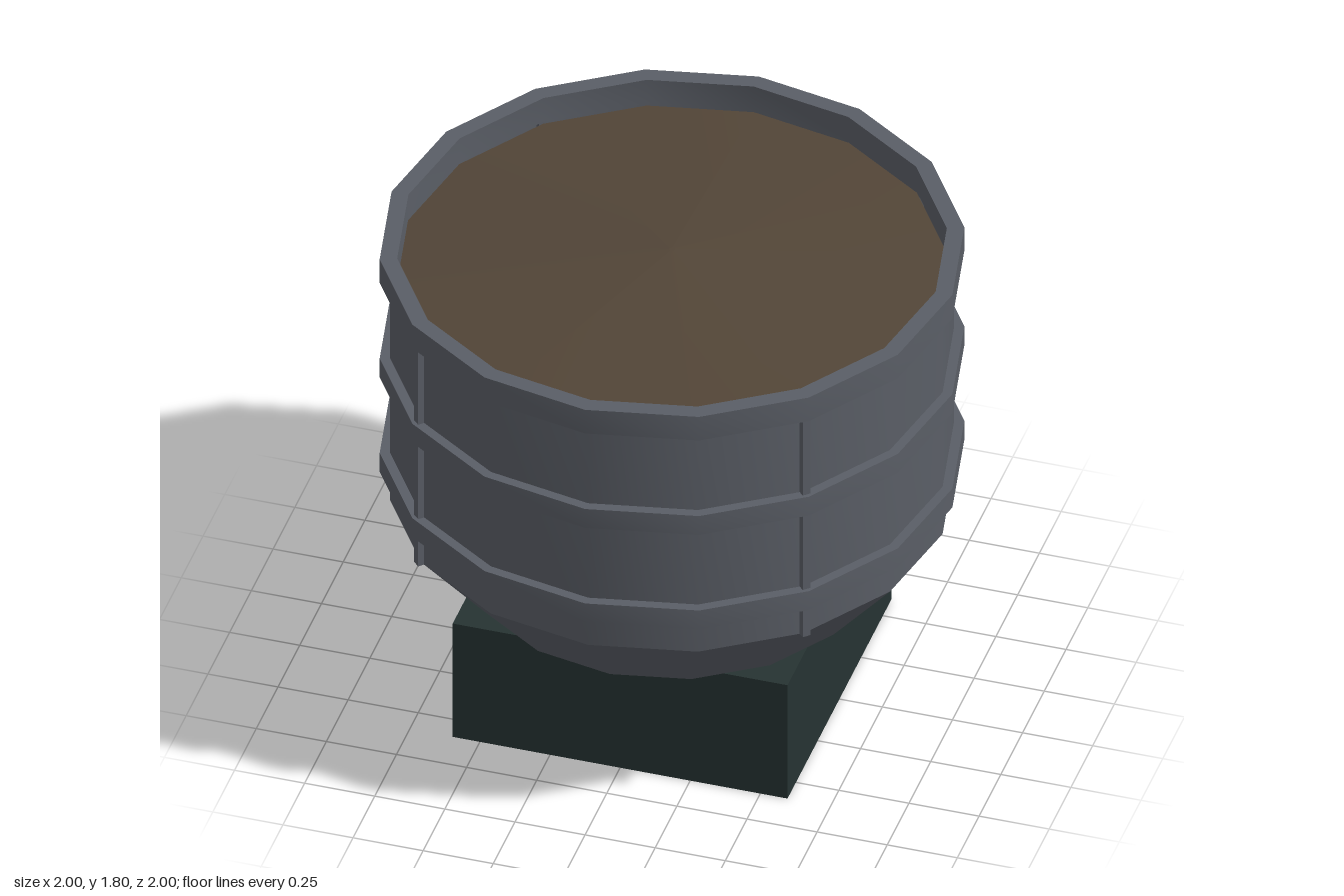
import * as THREE from 'three';
import { toCreasedNormals } from 'three/addons/utils/BufferGeometryUtils.js';

const SIDES = 16;

function material(name, color, side = THREE.FrontSide) {
  const m = new THREE.MeshStandardMaterial({ color, side });
  m.name = name;
  return m;
}

// Sixteen-sided turned shape: smooth around, sharp along the profile
function turned(points) {
  const profile = points.map(([r, y]) => new THREE.Vector2(r, y));
  return toCreasedNormals(new THREE.LatheGeometry(profile, SIDES), 0.6);
}

export function createModel() {
  const group = new THREE.Group();
  const metal = material('greyMetal', 0x5a5e66, THREE.DoubleSide);
  const fill = material('brownFill', 0x524537);
  const dark = material('darkGreenBase', 0x263332, THREE.DoubleSide);
  const grey = material('greyPanel', 0x5a5a5f);

  const add = (name, geometry, mat, parent = group) => {
    const mesh = new THREE.Mesh(geometry, mat);
    mesh.name = name;
    parent.add(mesh);
    return mesh;
  };

  // Hollow base, open underneath
  const baseGeometry = new THREE.BoxGeometry(1.194, 0.48, 1.194);
  const index = Array.from(baseGeometry.index.array);
  index.splice(18, 6); // bottom face
  baseGeometry.setIndex(index);
  baseGeometry.clearGroups();
  add('base', baseGeometry, dark).position.y = 0.24;

  // Panel on the back of the base
  add('backPanel', new THREE.BoxGeometry(0.55, 0.325, 0.006), grey).position.set(0, 0.24, -0.598);

  // Tub wall with funnel below, open at the bottom
  add('tub', turned([[0.715, 0.48], [0.965, 0.78], [0.965, 1.72]]), metal);

  // Hoops and rim
  const hoop = (name, y0, y1, inner) =>
    add(name, turned([[inner, y0], [1, y0], [1, y1], [inner, y1], [inner, y0]]), metal);
  hoop('lowerHoop', 0.9, 0.98, 0.95);
  hoop('upperHoop', 1.3, 1.38, 0.95);
  hoop('rim', 1.7, 1.8, 0.94);

  // Vertical ribs on the diagonals
  for (let i = 0; i < 4; i++) {
    const pivot = new THREE.Group();
    pivot.name = 'rib' + (i + 1);
    pivot.rotation.y = Math.PI / 4 + (i * Math.PI) / 2;
    add('ribBar', new THREE.BoxGeometry(0.03, 0.93, 0.04), metal, pivot).position.set(0, 1.245, 0.965);
    group.add(pivot);
  }

  // Low heap filling the tub
  const heap = new THREE.CylinderGeometry(0.01, 0.942, 0.085, SIDES);
  add('heap', heap, fill).position.y = 1.7325;

  return group;
}
